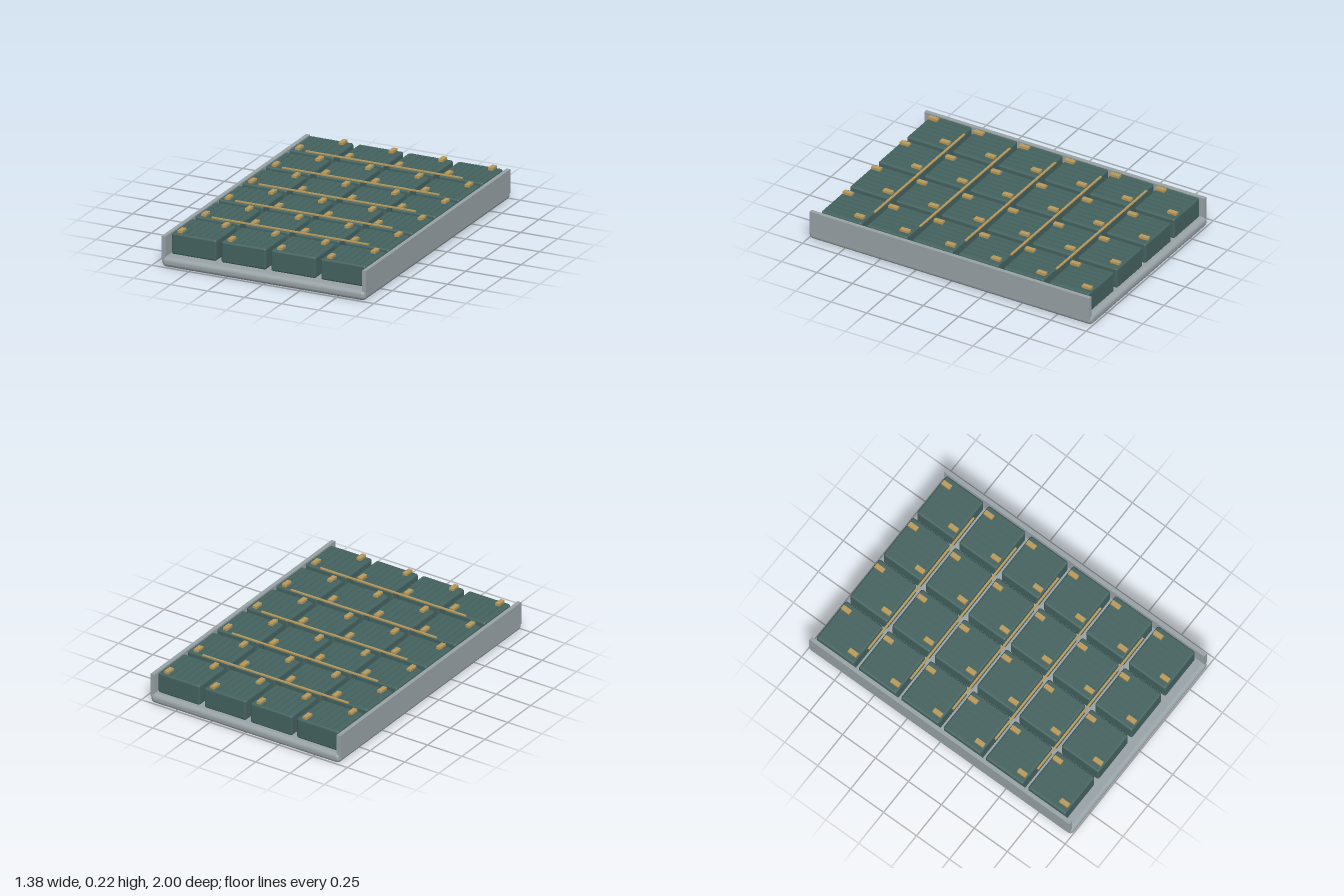
import * as THREE from 'three';
import { RoundedBoxGeometry } from 'three/addons/geometries/RoundedBoxGeometry.js';

export function createModel() {
  const group = new THREE.Group();
  const grey = new THREE.MeshStandardMaterial({ color: 0x98a2a6 });
  const teal = new THREE.MeshStandardMaterial({ color: 0x44625f });
  const brass = new THREE.MeshStandardMaterial({ color: 0xb8995a });

  const add = (parent, name, geometry, material, x, y, z) => {
    const mesh = new THREE.Mesh(geometry, material);
    mesh.name = name;
    mesh.position.set(x, y, z);
    parent.add(mesh);
    return mesh;
  };

  // Base tray and the two side rails
  add(group, 'tray', new RoundedBoxGeometry(1.376, 0.065, 2, 4, 0.028), grey, 0, 0.0325, 0);
  const railGeo = new THREE.BoxGeometry(0.026, 0.153, 1.975);
  for (const side of [-1, 1]) {
    add(group, side > 0 ? 'leftRail' : 'rightRail', railGeo, grey, side * 0.677, 0.1185, 0);
  }

  // Cell modules in a 4 x 6 grid, each with ribs and two terminals
  const columns = 4, rows = 6, pitchX = 0.336, pitchZ = 0.321, midZ = -0.0175;
  const bodyGeo = new RoundedBoxGeometry(0.302, 0.137, 0.283, 3, 0.013);
  const ribGeo = new THREE.BoxGeometry(0.005, 0.006, 0.255);
  const terminalGeo = new THREE.BoxGeometry(0.03, 0.016, 0.062);
  const rowZ = (r) => midZ + (r - (rows - 1) / 2) * pitchZ;

  for (let r = 0; r < rows; r++) {
    for (let c = 0; c < columns; c++) {
      const cell = new THREE.Group();
      cell.name = 'cellModule';
      cell.position.set((c - (columns - 1) / 2) * pitchX, 0, rowZ(r));
      add(cell, 'moduleBody', bodyGeo, teal, 0, 0.1325, 0);
      for (let i = 0; i < 6; i++) {
        add(cell, 'rib', ribGeo, teal, (i - 2.5) * 0.0435, 0.2005, 0);
      }
      add(cell, 'rearTerminal', terminalGeo, brass, 0.098, 0.212, -0.1);
      add(cell, 'frontTerminal', terminalGeo, brass, -0.098, 0.212, 0.1);
      group.add(cell);
    }
  }

  // Bus bars above the gaps between rows
  const barGeo = new THREE.BoxGeometry(1.06, 0.008, 0.013);
  for (let r = 0; r < rows - 1; r++) {
    add(group, 'busBar', barGeo, brass, 0, 0.22, rowZ(r) + pitchZ / 2);
  }
  return group;
}
